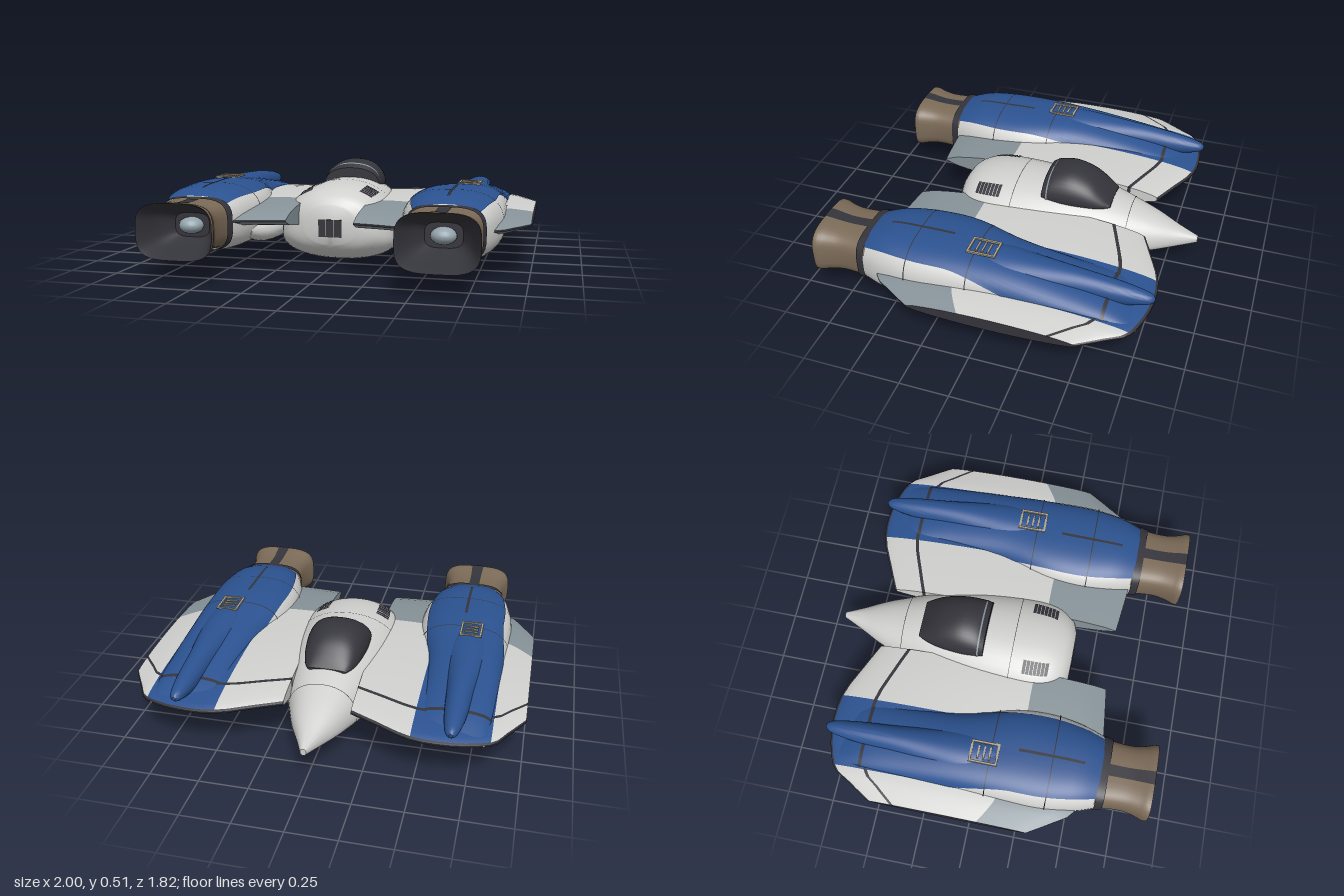
import * as THREE from 'three';
import { mergeVertices, toCreasedNormals } from 'three/addons/utils/BufferGeometryUtils.js';

const SEGMENTS = 40;

const paint = (name, color) => {
  const m = new THREE.MeshStandardMaterial({ color });
  m.name = name;
  return m;
};

// Smooth curve through a table of stations, t in station units
function spline(stations) {
  const last = stations.length - 1;
  const row = i => stations[THREE.MathUtils.clamp(i, 0, last)];
  return t => {
    const i = Math.min(Math.floor(t), last - 1), u = t - i;
    return row(i).map((p, k) => {
      const q = row(i + 1)[k], v0 = (q - row(i - 1)[k]) / 2, v1 = (row(i + 2)[k] - p) / 2;
      return (2 * p - 2 * q + v0 + v1) * u ** 3 + (3 * q - 3 * p - 2 * v0 - v1) * u ** 2 + v0 * u + p;
    });
  };
}

// Surface from rows of points; pick(i, j) gives the material index of a cell
function grid(rows, flip = false, pick = () => 0) {
  const w = rows[0].length, points = rows.flat(), buckets = [];
  const apart = (a, b) => Math.hypot(...points[a].map((v, k) => v - points[b][k])) > 1e-5;
  for (let i = 0; i < rows.length - 1; i++) for (let j = 0; j < w - 1; j++) {
    const a = i * w + j, b = a + 1, d = a + w, c = d + 1;
    const list = (buckets[pick(i, j)] ??= []);
    for (const [p, q, r] of [[a, b, c], [a, c, d]])
      if (apart(p, q) && apart(q, r) && apart(r, p)) list.push(...(flip ? [p, r, q] : [p, q, r]));
  }
  const geo = new THREE.BufferGeometry();
  geo.setAttribute('position', new THREE.Float32BufferAttribute(points.flat(), 3));
  geo.setIndex(buckets.flat());
  if (buckets.length > 1) {
    let start = 0;
    buckets.forEach((list, m) => { geo.addGroup(start, list.length, m); start += list.length; });
  }
  return mergeVertices(toCreasedNormals(geo, 0.7));
}

// Body of superelliptic cross-sections; stations are [z, cx, cy, halfWidth, top, bottom].
// Stations running towards -z give an inward-facing skin.
function body(stations, n = 2) {
  const f = spline(stations), last = stations.length - 1;
  const point = ([z, cx, cy, hw, top, bot], a, off) => {
    const c = Math.cos(a), s = Math.sin(a), e = 2 / n;
    return [
      cx + (hw + off) * Math.sign(c) * Math.abs(c) ** e,
      cy + ((s > 0 ? top : bot) + off) * Math.sign(s) * Math.abs(s) ** e, z];
  };
  const atZ = z => {
    let lo = 0, hi = last;
    for (let k = 0; k < 20; k++) {
      const mid = (lo + hi) / 2;
      if (f(mid)[0] < z) lo = mid; else hi = mid;
    }
    return f(lo);
  };
  const ring = (s, a0, a1, m, off) => Array.from({ length: m + 1 }, (_, j) => point(s, a0 + (a1 - a0) * j / m, off));
  const cap = s => Array.from({ length: SEGMENTS + 1 }, () => [s[1], s[2], s[0]]);
  return {
    // Skin with optional end caps
    skin(capStart = true, capEnd = true) {
      const rows = [];
      for (let i = 0; i <= last * 4; i++) rows.push(ring(f(i / 4), 0, Math.PI * 2, SEGMENTS, 0));
      if (capStart) rows.unshift(cap(stations[0]));
      if (capEnd) rows.push(cap(stations[last]));
      return grid(rows);
    },
    // Thin painted plate following the skin; edges(z) gives its angle range
    plate(z0, z1, edges, off = 0.003) {
      const steps = Math.ceil((z1 - z0) / 0.045), [from, to] = edges(z0);
      const rows = Array.from({ length: steps + 1 }, (_, i) => {
        const z = z0 + (z1 - z0) * i / steps;
        return ring(atZ(z), ...edges(z), Math.ceil((to - from) * 6.3), off);
      });
      return grid(rows);
    },
  };
}

export function createModel() {
  const model = new THREE.Group();
  model.name = 'twinEngineCraft';
  const white = paint('hullWhite', 0xd0d0cf), blue = paint('paintBlue', 0x2b5290);
  const grey = paint('panelGrey', 0x88949a), dark = paint('trimDark', 0x34343b);
  const brown = paint('nozzleBrown', 0x7b6a57), tan = paint('frameTan', 0xb3a58c);
  const core = paint('coreGrey', 0x93a3ab);

  const add = (name, geo, mat, parent = model) => {
    const m = new THREE.Mesh(geo, mat);
    m.name = name;
    parent.add(m);
    return m;
  };
  const box = (name, mat, parent, [w, h, d], [x, y, z]) =>
    add(name, new THREE.BoxGeometry(w, h, d), mat, parent).position.set(x, y, z);
  const fixed = (a0, a1) => () => [a0, a1];
  const full = fixed(0, Math.PI * 2);

  // Fuselage with pointed nose
  const hull = body([
    [-0.91, 0, 0.19, 0.015, 0.018, 0.018], [-0.8, 0, 0.185, 0.065, 0.06, 0.05],
    [-0.7, 0, 0.18, 0.115, 0.105, 0.07], [-0.6, 0, 0.175, 0.155, 0.145, 0.09],
    [-0.4, 0, 0.16, 0.225, 0.22, 0.115], [-0.15, 0, 0.145, 0.285, 0.27, 0.128],
    [0.1, 0, 0.14, 0.31, 0.28, 0.137], [0.25, 0, 0.15, 0.295, 0.255, 0.122],
    [0.34, 0, 0.18, 0.23, 0.19, 0.105], [0.38, 0, 0.215, 0.13, 0.105, 0.095]], 2.2);
  add('fuselage', hull.skin(), white);
  for (const z of [-0.55, 0.06]) add('hullSeam', hull.plate(z, z + 0.003, full, 0.002), dark);
  for (const [z0, z1] of [[-0.64, -0.44], [-0.1, 0.09]])
    add('bellyPanel', hull.plate(z0, z1, fixed(4.2, 5.22)), grey);
  for (const mid of [1.03, Math.PI - 1.03])
    for (let i = 0; i < 7; i++)
      add('hullVent', hull.plate(0.13 + i * 0.02, 0.147 + i * 0.02, fixed(mid - 0.13, mid + 0.13)), dark);
  for (const x of [-0.042, 0, 0.042]) box('rearGrille', dark, model, [0.038, 0.09, 0.008], [x, 0.205, 0.381]);

  // Canopy and its frame
  const dome = body([
    [-0.45, 0, 0.36, 0.1, 0.01, 0.01], [-0.4, 0, 0.36, 0.125, 0.065, 0.02], [-0.33, 0, 0.365, 0.145, 0.115, 0.02],
    [-0.23, 0, 0.37, 0.158, 0.142, 0.02], [-0.14, 0, 0.37, 0.16, 0.13, 0.02], [-0.09, 0, 0.37, 0.156, 0.1, 0.02]], 2.3);
  add('canopy', dome.skin(), dark);
  add('canopyArch', dome.plate(-0.122, -0.114, fixed(0, Math.PI)), grey);

  // Wing stations: x, leading edge, stripe, hinge, trailing edge, height, half thickness
  const wingAt = spline([
    [0.17, -0.66, -0.5, 0.2, 0.59, 0.268, 0.068], [0.3, -0.72, -0.55, 0.2, 0.605, 0.266, 0.07],
    [0.48, -0.795, -0.61, 0.2, 0.62, 0.26, 0.07], [0.67, -0.8, -0.61, 0.17, 0.6, 0.256, 0.066],
    [0.85, -0.745, -0.575, 0.13, 0.53, 0.25, 0.056], [0.92, -0.65, -0.5, 0.1, 0.44, 0.25, 0.046],
    [1, -0.52, -0.4, 0.05, 0.31, 0.25, 0.028]]);
  function wing(s) {
    const counts = [1, 5, 1, 8, 6], bands = counts.flatMap((c, b) => Array(c).fill(b)), n = bands.length;
    const rows = [];
    for (let i = 0; i <= 18; i++) {
      const [x, lead, stripe, hinge, trail, y, h] = wingAt(i / 3);
      const edge = [lead, lead + 0.012, stripe, stripe + 0.018, hinge, trail];
      const zs = [lead];
      counts.forEach((c, b) => { for (let k = 1; k <= c; k++) zs.push(edge[b] + (edge[b + 1] - edge[b]) * k / c); });
      const rise = z => {
        const u = THREE.MathUtils.clamp((z - lead) / (trail - lead), 0, 1);
        return 0.004 + h * (4 * u * (1 - u)) ** 0.65;
      };
      const upper = zs.map(z => [x * s, y + rise(z), z]);
      const lower = zs.map(z => [x * s, y - rise(z), z]).reverse();
      rows.push([...upper, ...lower, upper[0]]);
    }
    const close = (row, t) => row.map(p => [p[0], wingAt(t)[5], p[2]]);
    rows.unshift(close(rows[0], 0));
    rows.push(close(rows[rows.length - 1], 6));
    return grid(rows, s < 0, (i, j) => {
      const band = j < n ? bands[j] : j > n && j <= 2 * n ? bands[2 * n - j] : 0;
      if (band === 0 || band === 2 || i === 19) return 3;
      if (band === 4) return 2;
      return i > 6 && i <= 12 ? 1 : 0;
    });
  }

  for (const s of [1, -1]) {
    const side = new THREE.Group();
    side.name = s > 0 ? 'leftEngineWing' : 'rightEngineWing';
    model.add(side);
    add('wing', wing(s), [white, blue, grey, dark], side);

    // Engine nacelle with blue upper skin
    const pod = body([
      [-0.76, 0.665 * s, 0.25, 0.16, 0.01, 0.01], [-0.6, 0.665 * s, 0.25, 0.18, 0.07, 0.03],
      [-0.35, 0.665 * s, 0.25, 0.19, 0.115, 0.085], [-0.1, 0.655 * s, 0.25, 0.205, 0.15, 0.122],
      [0.15, 0.625 * s, 0.25, 0.245, 0.17, 0.147], [0.35, 0.62 * s, 0.25, 0.25, 0.17, 0.157],
      [0.52, 0.62 * s, 0.25, 0.222, 0.163, 0.155], [0.63, 0.62 * s, 0.25, 0.185, 0.132, 0.138]], 2.7);
    add('nacelle', pod.skin(), white, side);
    add('nacelleTop', pod.plate(-0.75, 0.63, z => {
      const a = 0.1 + 0.6 * THREE.MathUtils.smoothstep(z, -0.3, 0.2);
      return [a, Math.PI - a];
    }), blue, side);
    add('nacelleStripe', pod.plate(-0.61, -0.592, fixed(0.1, Math.PI - 0.1), 0.005), dark, side);
    for (const z of [0.06, 0.375]) add('nacelleSeam', pod.plate(z, z + 0.005, full, 0.0045), dark, side);
    add('nacelleSeam', pod.plate(0.2, 0.54, fixed(1.563, 1.579), 0.005), dark, side);

    // Long tapered spine on the nacelle
    const spine = body([
      [-0.815, 0.67 * s, 0.325, 0.008, 0.01, 0.01], [-0.78, 0.67 * s, 0.325, 0.032, 0.03, 0.03],
      [-0.65, 0.67 * s, 0.325, 0.053, 0.055, 0.06], [-0.45, 0.67 * s, 0.33, 0.068, 0.072, 0.07],
      [-0.25, 0.67 * s, 0.33, 0.095, 0.084, 0.07], [-0.05, 0.665 * s, 0.33, 0.12, 0.092, 0.07],
      [0.2, 0.65 * s, 0.32, 0.1, 0.096, 0.07]]);
    add('spine', spine.skin(), blue, side);

    // Small pod on the inner flank
    const flank = body([
      [-0.34, 0.41 * s, 0.2, 0.02, 0.02, 0.02], [-0.22, 0.39 * s, 0.18, 0.06, 0.05, 0.045],
      [0.05, 0.38 * s, 0.17, 0.08, 0.06, 0.06], [0.32, 0.39 * s, 0.17, 0.07, 0.055, 0.055],
      [0.46, 0.42 * s, 0.19, 0.03, 0.03, 0.03]]);
    add('flankPod', flank.skin(), white, side);

    // Access hatch frame and slats
    for (const d of [-1, 1]) {
      box('hatchFrame', tan, side, [0.011, 0.009, 0.145], [(0.67 + d * 0.052) * s, 0.421, 0.03]);
      box('hatchFrame', tan, side, [0.115, 0.009, 0.011], [0.67 * s, 0.421, 0.03 + d * 0.068]);
    }
    for (const z of [0, 0.03, 0.06]) box('hatchSlat', tan, side, [0.07, 0.009, 0.009], [0.67 * s, 0.421, z]);

    // Flared exhaust nozzle
    const flared = profile => body(profile.map(([z, w, h]) => [z, 0.62 * s, 0.248, w, h, h]), 3.4);
    const tube = flared([[0.62, 0.185, 0.128], [0.67, 0.172, 0.122], [0.77, 0.166, 0.12], [0.84, 0.178, 0.128],
      [0.88, 0.192, 0.136], [0.905, 0.193, 0.137]]);
    add('nozzle', tube.skin(false, false), brown, side);
    add('nozzleCollar', tube.plate(0.625, 0.668, full, 0.007), dark, side);
    for (const a of [Math.PI / 2, Math.PI * 1.5])
      add('nozzleStripe', tube.plate(0.66, 0.905, fixed(a - 0.05, a + 0.05)), dark, side);
    const throat = flared([[0.905, 0.193, 0.137], [0.87, 0.178, 0.124], [0.77, 0.14, 0.095], [0.68, 0.09, 0.06]]);
    add('nozzleThroat', throat.skin(false, true), dark, side);
    const cone = add('exhaustCore', new THREE.SphereGeometry(1, 20, 12), core, side);
    cone.scale.set(0.062, 0.042, 0.06);
    cone.position.set(0.62 * s, 0.248, 0.69);
  }
  return model;
}
